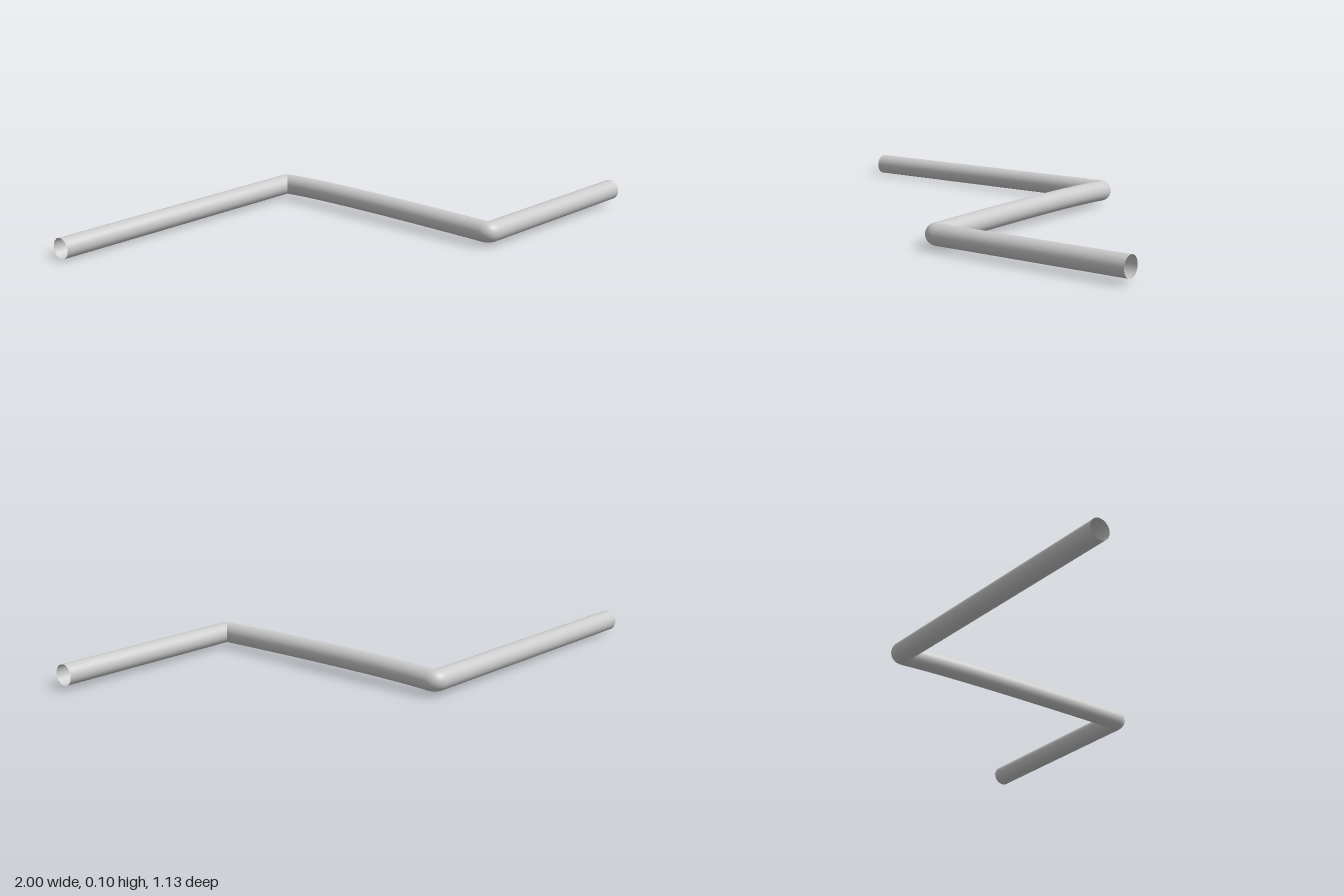
import * as THREE from 'three';

const RADIUS = 0.04;
const BEND = 0.02; // distance from each corner at which the bend starts
const v = (x, y, z) => new THREE.Vector3(x, y, z);

// Chain of curves with equal parameter share each, so the tight bends get enough rings
class Chain extends THREE.Curve {
  constructor(parts) {
    super();
    this.parts = parts;
  }
  locate(t) {
    const s = t * this.parts.length;
    const i = Math.min(Math.floor(s + 1e-9), this.parts.length - 1);
    return [this.parts[i], Math.min(Math.max(s - i, 0), 1)];
  }
  getPoint(t, target = v(0, 0, 0)) {
    const [c, u] = this.locate(t);
    return c.getPoint(u, target);
  }
  getTangent(t, target = v(0, 0, 0)) {
    const [c, u] = this.locate(t);
    return c.getTangent(u, target);
  }
  getPointAt(t, target) { return this.getPoint(t, target); }
  getTangentAt(t, target) { return this.getTangent(t, target); }
}

export function createModel() {
  const group = new THREE.Group();
  group.name = 'bentPipe';

  const backEnd = v(-1, 0.042, -0.51);
  const backCorner = v(0.18, 0.054, -0.527);
  const frontCorner = v(0.18, 0.051, 0.525);
  const frontEnd = v(1, 0.056, 0.525);

  // Points just before and after each corner
  const toward = (a, b) => a.clone().add(b.clone().sub(a).setLength(BEND));
  const b0 = toward(backCorner, backEnd);
  const b1 = toward(backCorner, frontCorner);
  const f0 = toward(frontCorner, backCorner);
  const f1 = toward(frontCorner, frontEnd);

  const path = new Chain([
    new THREE.LineCurve3(backEnd, b0), // back arm
    new THREE.QuadraticBezierCurve3(b0, backCorner, b1),
    new THREE.QuadraticBezierCurve3(b1, v(0.18, 0.067, -0.25), f0), // slightly bowed cross piece
    new THREE.QuadraticBezierCurve3(f0, frontCorner, f1),
    new THREE.LineCurve3(f1, frontEnd), // front arm
  ]);

  // Hollow pipe, open at both ends
  const pipe = new THREE.Mesh(
    new THREE.TubeGeometry(path, 60, RADIUS, 32, false),
    new THREE.MeshStandardMaterial({ color: 0xcccccc, side: THREE.DoubleSide })
  );
  pipe.name = 'pipe';
  group.add(pipe);
  return group;
}
